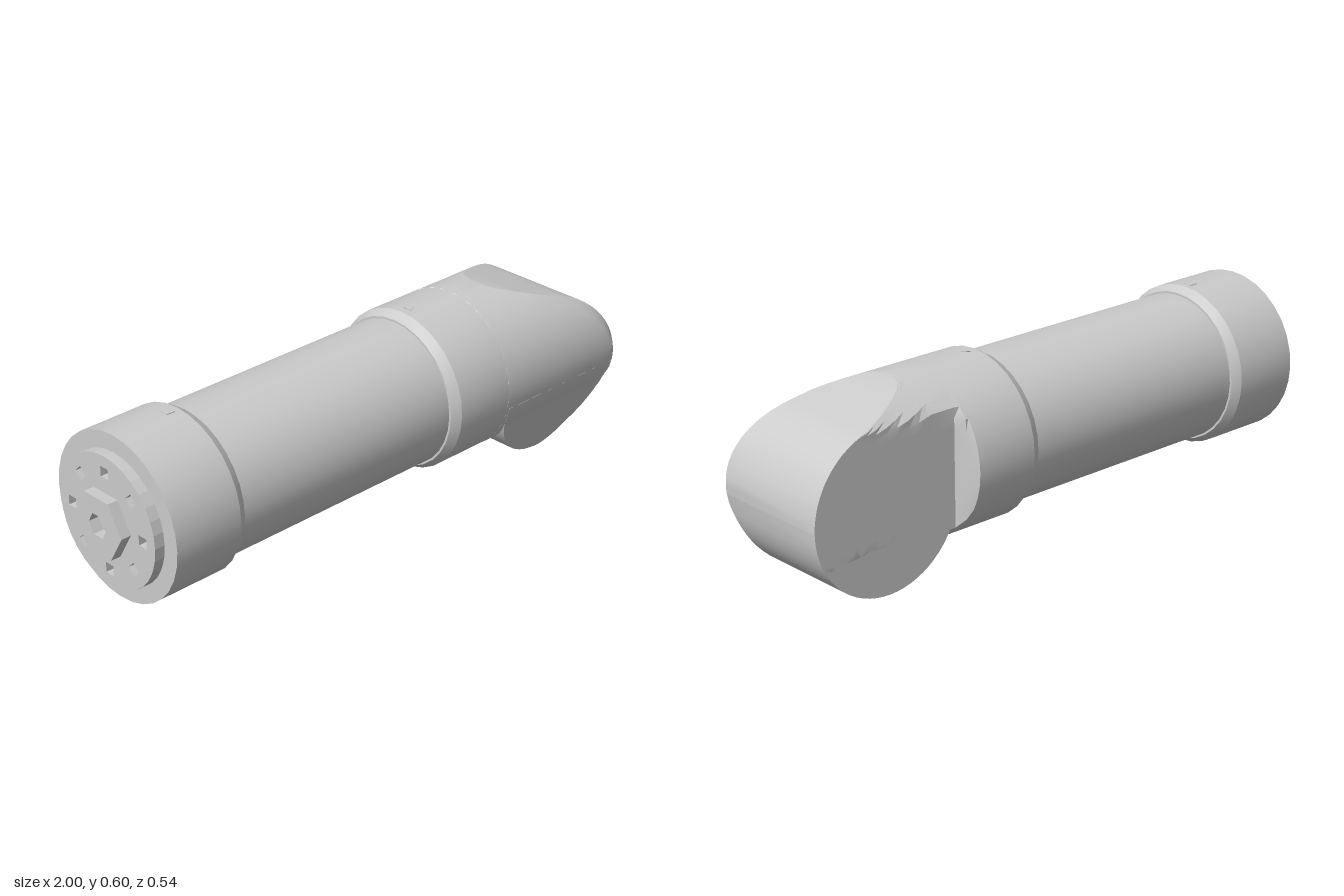
import * as THREE from 'three';
import { toCreasedNormals } from 'three/addons/utils/BufferGeometryUtils.js';

const AXIS = 0.33, R = 0.27;               // tube axis height, outer radius
const DX = 0.73, DY = 0.27, DR = 0.268;    // elbow disc centre and radius
const BACK = -0.185;                       // flat mounting face
const material = new THREE.MeshStandardMaterial({ color: 0xcccccc });

function add(group, name, geometry, x = 0, y = 0, z = 0) {
  const mesh = new THREE.Mesh(geometry, material);
  mesh.name = name;
  mesh.position.set(x, y, z);
  group.add(mesh);
  return mesh;
}

// Solid of revolution about the x axis from [x, radius] pairs
function turned(pairs) {
  const points = pairs.map(([x, r]) => new THREE.Vector2(r, x));
  return toCreasedNormals(new THREE.LatheGeometry(points, 32).rotateZ(-Math.PI / 2), 0.4);
}

// Plate facing -x, extruded from a shape
function plate(shape, depth) {
  return new THREE.ExtrudeGeometry(shape, { depth, bevelEnabled: false, curveSegments: 16 })
    .rotateY(-Math.PI / 2);
}

function polygon(Type, sides, radius, cx = 0, cy = 0, turn = 0) {
  const points = [];
  for (let i = 0; i < sides; i++) {
    const a = turn + (i / sides) * Math.PI * 2;
    points.push(new THREE.Vector2(cx + radius * Math.cos(a), cy + radius * Math.sin(a)));
  }
  return new Type(points);
}

// Half width of the round tube at height y
const tubeZ = (y) => Math.sqrt(Math.max(0, R * R - (y - AXIS) ** 2));
const discHalf = (x) => Math.sqrt(Math.max(0, DR * DR - (x - DX) ** 2));
const lerp = THREE.MathUtils.lerp;

// Skin over cross-sections at the given x values: front edge down, back edge up
function loft(xs, top, bottom, front, back) {
  const N = 20, ring = 2 * (N + 1), positions = [], index = [];
  for (const x of xs) {
    const t = top(x), b = bottom(x);
    for (let j = 0; j < ring; j++) {
      const k = j <= N ? j : ring - 1 - j;
      const y = lerp(b, t, (1 + Math.cos((k / N) * Math.PI)) / 2);
      positions.push(x, y, j <= N ? front(x, y) : back(x, y));
    }
  }
  for (let i = 0; i < xs.length - 1; i++) {
    for (let j = 0; j < ring; j++) {
      const a = i * ring + j, b = i * ring + ((j + 1) % ring);
      index.push(a, b, a + ring, b, b + ring, a + ring);
    }
  }
  const geometry = new THREE.BufferGeometry();
  geometry.setAttribute('position', new THREE.Float32BufferAttribute(positions, 3));
  geometry.setIndex(index);
  return toCreasedNormals(geometry, 0.4);
}

// Small bevel where the elbow's rounded end meets its front
function endBevel(x, y) {
  const gap = DR - Math.hypot(x - DX, y - DY);
  return Math.max(0, 0.03 - gap) * THREE.MathUtils.clamp((x - DX) / DR, 0, 1);
}

function elbow() {
  const group = new THREE.Group();
  group.name = 'elbow';
  const arc = (from, to, n) => Array.from({ length: n + 1 },
    (_, i) => DX - DR * Math.cos(lerp(from, to, i / n)));

  // Tube end, cut flat at the back, sloped on top and rounded at the tip
  const top = (x) => {
    if (x < 0.56) return AXIS + R;
    if (x < 0.8) return lerp(AXIS + R, DY + discHalf(0.8), (x - 0.56) / 0.24);
    return DY + discHalf(x);
  };
  const bottom = (x) => Math.min(DY, Math.max(AXIS - R, DY - discHalf(x) + (x > 0.56 ? 0.004 : -1)));
  const cut = (x) => (x < 0.46 ? lerp(-R, -0.22, (x - 0.45) / 0.01)
    : Math.max(-0.22, Math.min(BACK, lerp(-0.22, BACK, (x - 0.46) / 0.015))));
  const tip = arc(Math.acos((DX - 0.8) / DR), Math.PI, 14);
  add(group, 'elbowUpper', loft(
    [0.45, 0.46, 0.475, 0.5599, 0.58, 0.61, 0.65, 0.69, 0.73, 0.77, ...tip],
    top, bottom,
    (x, y) => tubeZ(y) - endBevel(x, y),
    (x, y) => Math.max(cut(x), -tubeZ(y))));

  // Lower half of the disc with a tapered front
  add(group, 'elbowLower', loft(
    arc(0, Math.PI, 32),
    () => DY,
    (x) => DY - discHalf(x),
    (x, y) => (y > 0.2 ? tubeZ(y) : lerp(0.163, tubeZ(0.2), y / 0.2)) - endBevel(x, y),
    () => BACK));
  return group;
}

export function createModel() {
  const model = new THREE.Group();
  model.name = 'elbowTube';

  // Main tube and its two collars
  add(model, 'mainTube', turned([[-0.68, 0.245], [0.22, 0.245]]), 0, AXIS);
  add(model, 'rearCollar', turned([[-0.93, 0], [-0.93, R], [-0.69, R], [-0.66, 0.252], [-0.66, 0.24]]), 0, AXIS);
  add(model, 'elbowCollar', turned([[0.2, 0.24], [0.2, 0.252], [0.232, R], [0.45, R], [0.45, 0]]), 0, AXIS);
  model.add(elbow());

  // End flange with a circle of square sockets
  const flange = new THREE.Shape().absarc(0, 0, 0.215, 0, Math.PI * 2, false);
  for (let i = 0; i < 8; i++) {
    const a = (i / 8) * Math.PI * 2;
    flange.holes.push(polygon(THREE.Path, 4, 0.024, 0.16 * Math.cos(a), 0.16 * Math.sin(a), a + Math.PI / 4));
  }
  add(model, 'endFlange', plate(flange, 0.035), -0.93, AXIS);

  // Hexagonal hub with a socket
  const hub = polygon(THREE.Shape, 6, 0.108);
  hub.holes.push(polygon(THREE.Path, 6, 0.04));
  add(model, 'hub', plate(hub, 0.035), -0.965, AXIS);

  // Small index marks on top of the collars
  add(model, 'rearMark', new THREE.BoxGeometry(0.03, 0.006, 0.03), -0.725, AXIS + R - 0.002);
  const pointer = new THREE.CylinderGeometry(0.018, 0.018, 0.006, 3).rotateY(Math.PI / 2);
  add(model, 'elbowMark', pointer, 0.268, AXIS + R - 0.002);
  return model;
}
